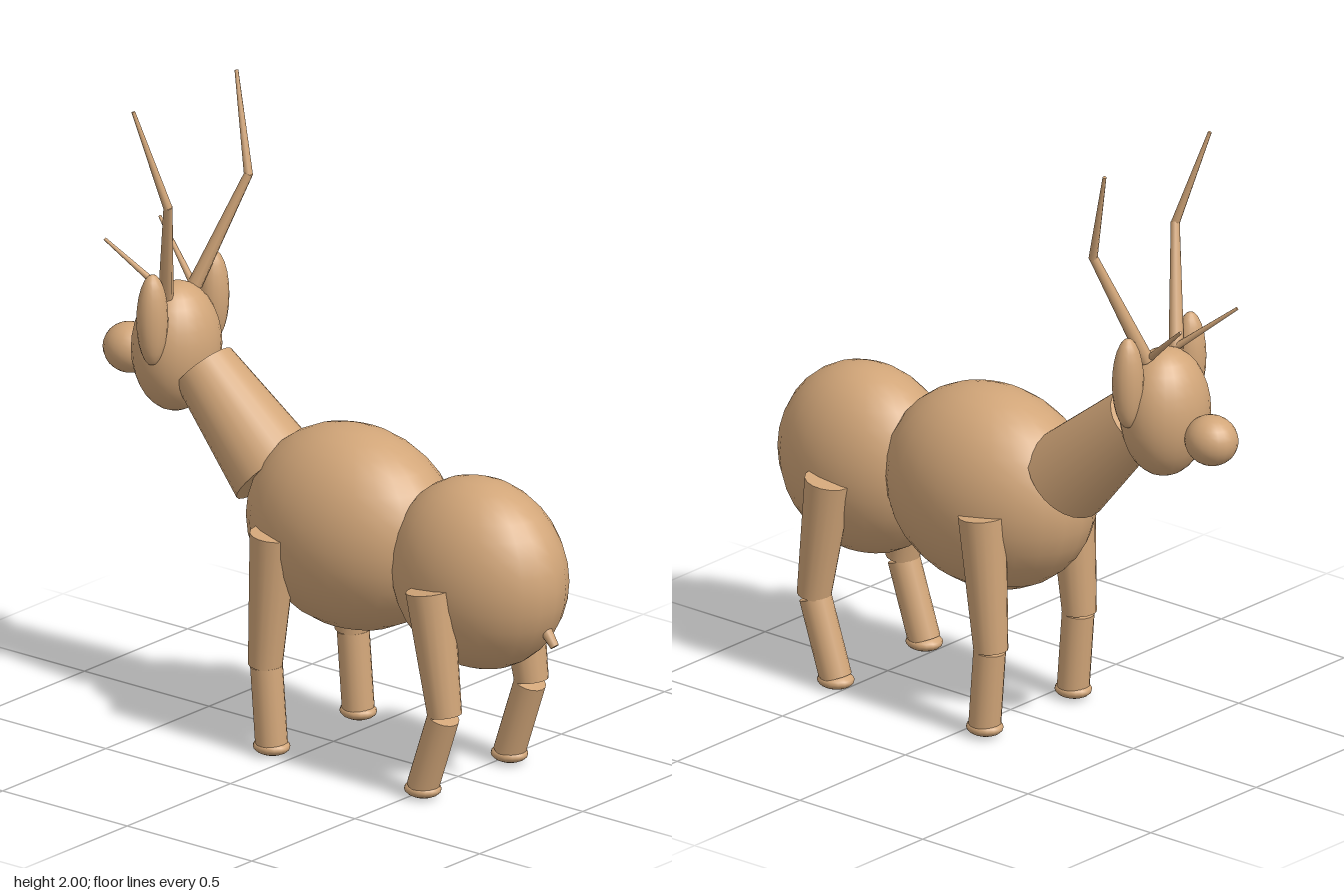
import * as THREE from 'three';

const coat = new THREE.MeshStandardMaterial({ color: 0xd2a679 });
coat.name = 'tan coat';

const UP = new THREE.Vector3(0, 1, 0);

export function createModel() {
  const model = new THREE.Group();
  model.name = 'deer';

  const add = (name, geometry) => {
    const mesh = new THREE.Mesh(geometry, coat);
    mesh.name = name;
    model.add(mesh);
    return mesh;
  };

  // Ellipsoid with its poles along y
  const ellipsoid = (name, center, radii, w = 24, h = 16) => {
    const mesh = add(name, new THREE.SphereGeometry(1, w, h));
    mesh.position.set(...center);
    mesh.scale.set(...radii);
    return mesh;
  };

  // Tapered capped limb from point a (radius ra) to point b (radius rb)
  const limb = (name, a, b, ra, rb, sides = 16) => {
    const from = new THREE.Vector3(...a);
    const to = new THREE.Vector3(...b);
    const axis = to.clone().sub(from);
    const mesh = add(name, new THREE.CylinderGeometry(rb, ra, axis.length(), sides));
    mesh.position.copy(from).add(to).multiplyScalar(0.5);
    mesh.quaternion.setFromUnitVectors(UP, axis.normalize());
    return mesh;
  };

  // Body, neck, head
  ellipsoid('rump', [0, 0.692, 0.585], [0.225, 0.307, 0.31]);
  ellipsoid('chest', [0, 0.728, 0.08], [0.26, 0.327, 0.375]);
  limb('neck', [0, 0.837, -0.231], [0, 1.11, -0.52], 0.148, 0.103, 24);
  ellipsoid('head', [0, 1.157, -0.63], [0.153, 0.209, 0.133]);
  ellipsoid('muzzle', [0, 1.108, -0.818], [0.08, 0.08, 0.087], 20, 14);
  limb('tail', [0, 0.6, 0.82], [0, 0.515, 0.888], 0.025, 0.014, 10);

  for (const s of [1, -1]) {
    const side = s > 0 ? 'left' : 'right';

    // Ears and antlers
    ellipsoid(side + 'Ear', [s * 0.148, 1.287, -0.605], [0.053, 0.149, 0.047], 16, 12);
    limb(side + 'AntlerBeam', [s * 0.07, 1.34, -0.615], [s * 0.195, 1.695, -0.503], 0.024, 0.014, 8);
    limb(side + 'AntlerTip', [s * 0.195, 1.69, -0.503], [s * 0.25, 2.0, -0.597], 0.014, 0.006, 8);
    limb(side + 'AntlerTine', [s * 0.06, 1.34, -0.61], [s * 0.134, 1.503, -0.808], 0.012, 0.005, 8);

    // Legs: thigh, shin and flattened hoof
    const x = s * 0.21;
    const legs = [
      ['Front', [x, 0.727, -0.065], [x, 0.288, -0.1], [x, 0.285, -0.095], [x, 0.035, -0.075]],
      ['Hind', [x, 0.685, 0.56], [x, 0.288, 0.62], [x, 0.28, 0.615], [x, 0.035, 0.532]],
    ];
    for (const [end, hip, knee, shinTop, ankle] of legs) {
      limb(side + end + 'Thigh', hip, knee, 0.076, 0.054);
      limb(side + end + 'Shin', shinTop, ankle, 0.051, 0.051);
      ellipsoid(side + end + 'Hoof', [x, 0.027, ankle[2]], [0.055, 0.027, 0.061], 16, 10);
    }
  }

  return model;
}
